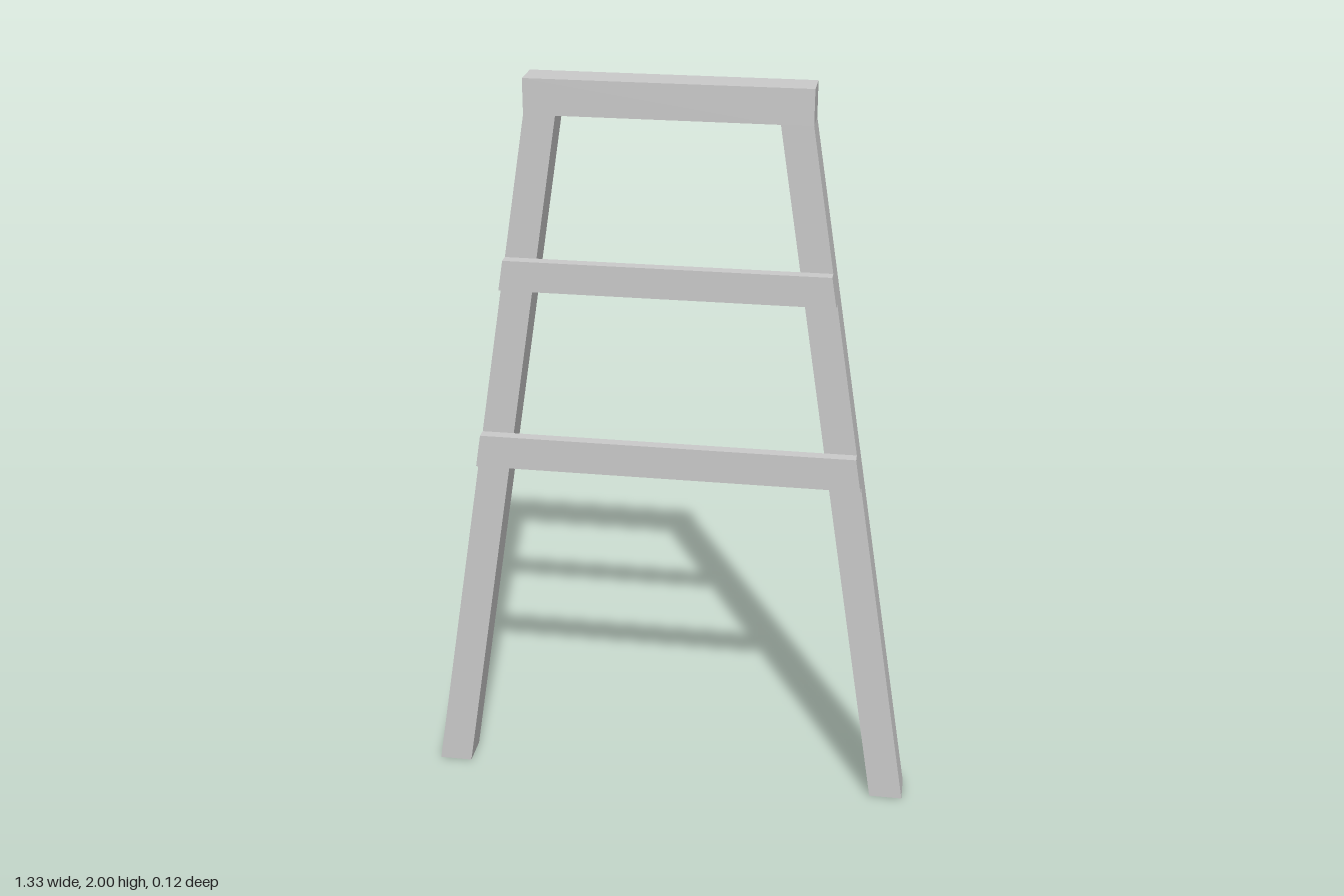
import * as THREE from 'three';

const TOP = 2, RAIL_BOTTOM = 1.91;
const FOOT_OUT = 0.665, FOOT_IN = 0.575, HEAD_OUT = 0.357, HEAD_IN = 0.277;

// Half-width of the splayed outer edge at height y
const outerX = (y) => THREE.MathUtils.lerp(FOOT_OUT, HEAD_OUT, y / RAIL_BOTTOM);

// Flat board: front outline extruded from zBack to zFront
function board(name, outline, zBack, zFront, material) {
  const shape = new THREE.Shape(outline.map(([x, y]) => new THREE.Vector2(x, y)));
  const geometry = new THREE.ExtrudeGeometry(shape, { depth: zFront - zBack, bevelEnabled: false });
  geometry.translate(0, 0, zBack);
  const mesh = new THREE.Mesh(geometry, material);
  mesh.name = name;
  return mesh;
}

export function createModel() {
  const group = new THREE.Group();
  group.name = 'ladderFrame';
  const material = new THREE.MeshStandardMaterial({ color: 0xcccccc, flatShading: true });

  // Splayed legs joined by the top rail, mirrored across x = 0
  const half = [
    [HEAD_IN, RAIL_BOTTOM], [FOOT_IN, 0], [FOOT_OUT, 0], [HEAD_OUT, RAIL_BOTTOM], [HEAD_OUT, TOP],
  ];
  const mirrored = half.map(([x, y]) => [-x, y]).reverse();
  group.add(board('legsAndTopRail', [...half, ...mirrored], -0.06, 0.03, material));

  // Rungs on the front of the legs, ends cut flush with the leg slope
  const rungs = [['lowerRung', 0.96, 1.05], ['upperRung', 1.46, 1.54]];
  for (const [name, y0, y1] of rungs) {
    const a = outerX(y0), b = outerX(y1);
    group.add(board(name, [[-a, y0], [a, y0], [b, y1], [-b, y1]], 0.03, 0.06, material));
  }
  return group;
}
